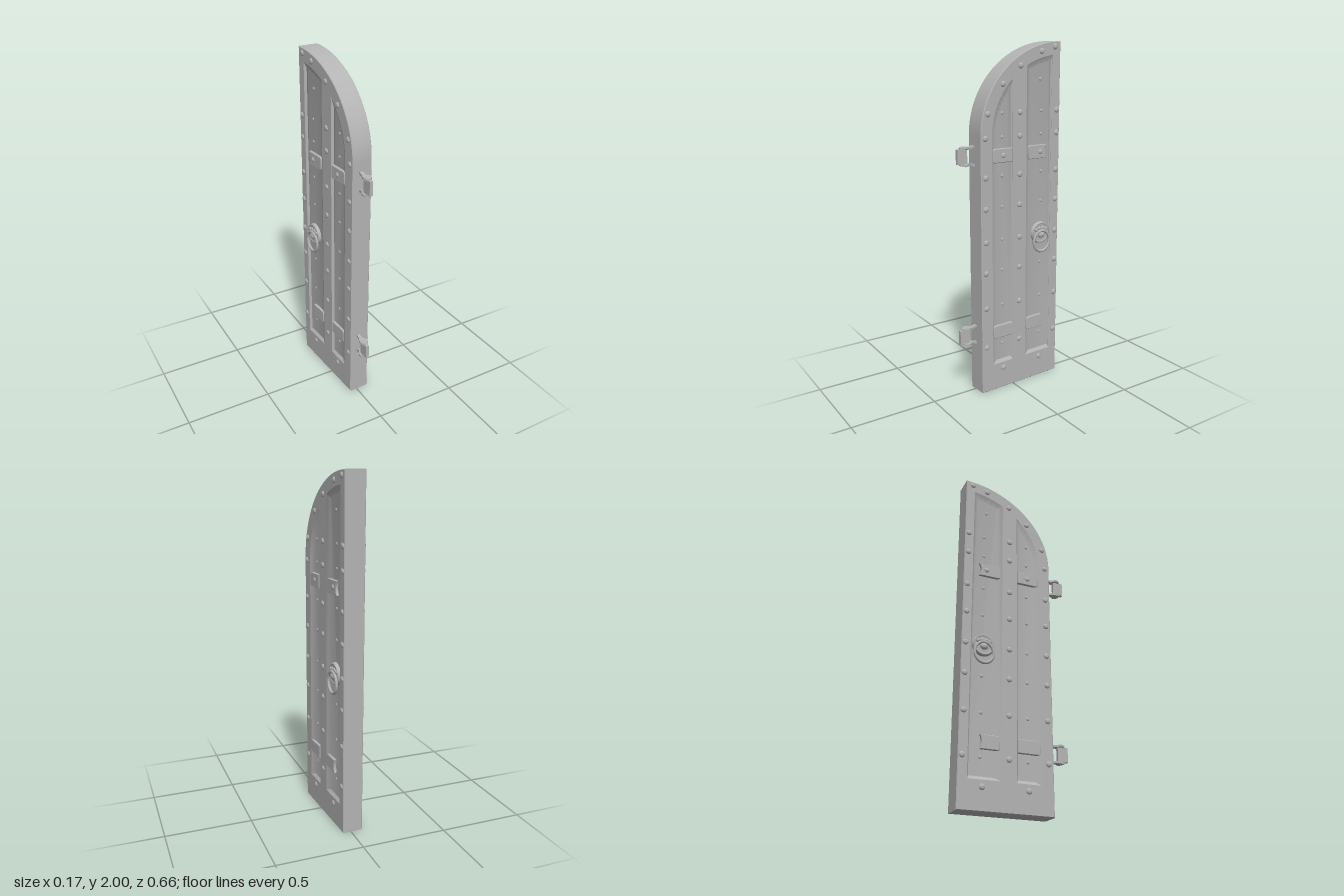
import * as THREE from 'three';
import { mergeGeometries, toCreasedNormals } from 'three/addons/utils/BufferGeometryUtils.js';

const grey = new THREE.MeshStandardMaterial({ color: 0xb4b4b4 });
grey.name = 'plain grey';

// Leaf space: u along the door's width, y up, +z out of one face.
const BACK = -0.325, SPAN = 0.547, SPRING = 1.5, RISE = 0.5;
const FACE = 0.06, FLOOR = 0.047;

// Closed loop with a flat base and a top that follows the arch, inset by r
function archLoop(uFront, uBack, yBase, r, steps = 20) {
  const a = SPAN - r, b = RISE - r;
  const t0 = Math.acos(Math.min(1, (uFront - BACK) / a));
  const t1 = Math.acos(Math.max(0, (uBack - BACK) / a));
  const pts = [new THREE.Vector2(uBack, yBase), new THREE.Vector2(uFront, yBase)];
  for (let i = 0; i <= steps; i++) {
    const t = t0 + (t1 - t0) * i / steps;
    pts.push(new THREE.Vector2(BACK + a * Math.cos(t), SPRING + b * Math.sin(t)));
  }
  return pts;
}

const PANELS = [
  { front: 0.145, back: 0.01 },
  { front: -0.09, back: -0.268 },
];
const RIM = 0.077, BASE = 0.165;

function leafGeometry() {
  const shape = new THREE.Shape(archLoop(BACK + SPAN, BACK, 0, 0, 32));
  for (const p of PANELS) shape.holes.push(new THREE.Path(archLoop(p.front, p.back, BASE, RIM)));
  const bevel = 0.004;
  const g = new THREE.ExtrudeGeometry(shape, {
    depth: 2 * (FACE - bevel), bevelEnabled: true, bevelThickness: bevel,
    bevelSize: bevel, bevelOffset: -bevel, bevelSegments: 1,
  });
  g.translate(0, 0, -FACE + bevel);
  return toCreasedNormals(g, 0.5);
}

// Sunken panel: wide slope on the hinge side, steep on the other
function panelGeometry({ front, back }) {
  const e = 0.004;
  const outer = archLoop(front + e, back - e, BASE - e, RIM - e);
  const inner = archLoop(front - 0.028, back + 0.006, BASE + 0.014, RIM + 0.026);
  const pos = [];
  const put = (p, z) => pos.push(p.x, p.y, z);
  outer.forEach((o, i) => {
    const j = (i + 1) % outer.length;
    put(o, FACE); put(outer[j], FACE); put(inner[j], FLOOR);
    put(o, FACE); put(inner[j], FLOOR); put(inner[i], FLOOR);
  });
  const floor = new THREE.ShapeGeometry(new THREE.Shape(inner)).toNonIndexed();
  floor.translate(0, 0, FLOOR);
  pos.push(...floor.attributes.position.array);
  const g = new THREE.BufferGeometry();
  g.setAttribute('position', new THREE.Float32BufferAttribute(pos, 3));
  return toCreasedNormals(g, 0.5);
}

// Domed rivet head standing on depth z
function rivet(u, y, r, z) {
  const g = new THREE.SphereGeometry(r, 12, 4, 0, Math.PI * 2, 0, Math.PI / 2);
  g.rotateX(Math.PI / 2);
  g.scale(1, 1, 0.5);
  g.translate(u, y, z);
  return g;
}

function rivetGeometry() {
  const rows = [1.62, 1.49, 1.275, 1.1, 0.91, 0.73, 0.52, 0.28];
  const heads = [];
  for (const y of rows) {
    heads.push(rivet(y > 1.6 ? 0.175 : 0.192, y, 0.017, FACE));
    heads.push(rivet(-0.04, y, 0.017, FACE), rivet(-0.302, y, 0.017, FACE));
    for (const u of [0.074, -0.2]) {
      if (u < 0 && y === 0.91) continue;
      heads.push(rivet(u, y, 0.01, FLOOR));
    }
  }
  for (const [u, y] of [[0.074, 1.775], [-0.045, 1.87], [-0.19, 1.945], [-0.285, 1.97],
    [0.074, 0.125], [-0.19, 0.125]]) heads.push(rivet(u, y, 0.017, FACE));
  heads.push(rivet(-0.19, 1.795, 0.01, FLOOR));
  heads.push(rivet(0.074, 1.39, 0.015, 0.062), rivet(-0.185, 1.39, 0.015, 0.062));
  return mergeGeometries(heads);
}

// Strap plate, rounded at the hinge end and optionally notched at the other
function strapGeometry(uFront, uBack, y, notch) {
  const h = 0.039, c = 0.014;
  const s = new THREE.Shape();
  s.moveTo(uBack, y - h);
  s.lineTo(uFront - c, y - h);
  s.quadraticCurveTo(uFront, y - h, uFront, y - h + c);
  s.lineTo(uFront, y + h - c);
  s.quadraticCurveTo(uFront, y + h, uFront - c, y + h);
  s.lineTo(uBack, y + h);
  s.quadraticCurveTo(uBack + notch * 2, y, uBack, y - h);
  const g = new THREE.ExtrudeGeometry(s, {
    depth: 0.014, bevelThickness: 0.003, bevelSize: 0.003, bevelOffset: -0.003,
    bevelSegments: 1, curveSegments: 6,
  });
  g.translate(0, 0, FLOOR - 0.002);
  return toCreasedNormals(g, 0.5);
}

// Ring pull: round backplate, boss, studs and a hanging ring
function ringPullGeometries() {
  const u = -0.195;
  const profile = [[0, 0.018], [0.03, 0.017], [0.048, 0.012], [0.054, 0.018], [0.061, 0.018], [0.065, 0]]
    .map(([r, h]) => new THREE.Vector2(r, h)).reverse();
  const plate = new THREE.LatheGeometry(profile, 28);
  plate.rotateX(Math.PI / 2);
  plate.translate(u, 0.91, FLOOR);
  const boss = new THREE.SphereGeometry(0.024, 14, 10);
  boss.scale(1, 0.85, 0.6);
  boss.translate(u, 0.9, 0.066);
  const studs = [-0.036, -0.013, 0.013, 0.036].map((d) => {
    const g = new THREE.SphereGeometry(0.011, 10, 6);
    g.scale(1, 1, 0.7);
    g.translate(u + d, 0.94 - Math.abs(d) * 0.25, 0.064);
    return g;
  });
  const ring = new THREE.TorusGeometry(0.056, 0.0085, 8, 32);
  ring.scale(1, 1.1, 1);
  ring.translate(u, 0.862, 0.07);
  return { ringPullPlate: plate, ringPullBoss: mergeGeometries([boss, ...studs]), pullRing: ring };
}

// Reflects a geometry to the opposite face, keeping its corners in order
function reflect(source) {
  const g = source.index ? source.toNonIndexed() : source.clone();
  g.scale(1, 1, -1);
  const order = [];
  for (let i = 0; i < g.attributes.position.count; i += 3) order.push(i, i + 2, i + 1);
  g.setIndex(order);
  return g;
}

// Hinge: two waisted fork plates and an upright block at the tip
function createHinge(y) {
  const hinge = new THREE.Group();
  hinge.name = 'hinge';
  const half = [[0.205, 0.01], [0.235, 0.01], [0.25, 0.011], [0.262, 0.017], [0.275, 0.024],
    [0.286, 0.025], [0.298, 0.021], [0.31, 0.009]];
  const outline = [...half.map(([z, w]) => [w, -z]), ...half.map(([z, w]) => [-w, -z]).reverse()]
    .map(([a, b]) => new THREE.Vector2(a, b)).reverse();
  for (const side of [1, -1]) {
    const g = new THREE.ExtrudeGeometry(new THREE.Shape(outline), { depth: 0.012, bevelEnabled: false });
    g.translate(0, 0, -0.006);
    g.rotateX(-Math.PI / 2);
    // Flare towards the door, with a slight lift over the block
    const p = g.attributes.position;
    for (let i = 0; i < p.count; i++) {
      const z = p.getZ(i);
      const flare = 0.012 * THREE.MathUtils.smoothstep(0.262 - z, 0, 0.045);
      p.setY(i, p.getY(i) + side * (0.042 + flare + 0.006 * Math.max(0, Math.sin((z - 0.255) * 55))));
    }
    const fork = new THREE.Mesh(toCreasedNormals(g, 0.6), grey);
    fork.name = 'hingeFork';
    hinge.add(fork);
  }
  const block = new THREE.Mesh(new THREE.BoxGeometry(0.02, 0.082, 0.06), grey);
  block.name = 'hingeBlock';
  block.position.z = 0.299;
  hinge.add(block);
  hinge.position.set(0.005, y, 0);
  return hinge;
}

export function createModel() {
  const model = new THREE.Group();
  model.name = 'archedDoor';

  const leaf = new THREE.Group();
  leaf.name = 'doorLeaf';
  leaf.rotation.y = -Math.PI / 2 + 0.045;
  leaf.position.x = 0.005;
  model.add(leaf);

  const add = (name, geometry) => {
    const mesh = new THREE.Mesh(geometry, grey);
    mesh.name = name;
    leaf.add(mesh);
  };
  const addBothFaces = (name, geometry) => {
    add(name, geometry);
    add(name, reflect(geometry));
  };

  add('frame', leafGeometry());
  for (const p of PANELS) addBothFaces('sunkenPanel', panelGeometry(p));
  addBothFaces('rivets', rivetGeometry());
  for (const [front, back, y, notch] of [[0.143, 0.012, 1.39, 0], [-0.1, -0.23, 1.39, 0.012],
    [0.143, 0.012, 0.36, 0], [-0.092, -0.205, 0.36, 0.008]]) {
    addBothFaces('strapPlate', strapGeometry(front, back, y, notch));
  }
  for (const [name, g] of Object.entries(ringPullGeometries())) addBothFaces(name, g);

  model.add(createHinge(1.393), createHinge(0.352));
  return model;
}
